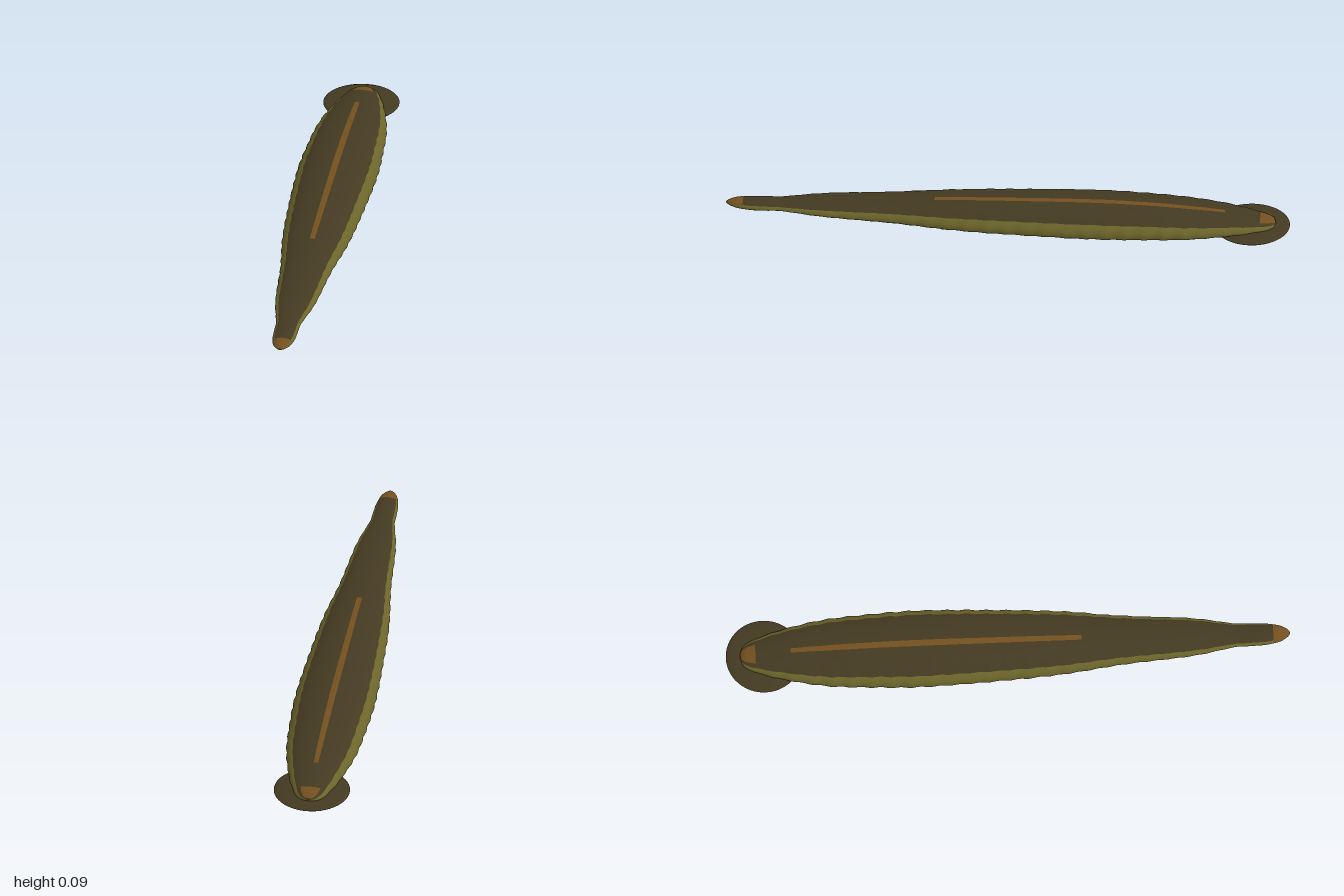
import * as THREE from 'three';

const mat = (name, color) => {
  const m = new THREE.MeshStandardMaterial({ color, side: THREE.DoubleSide });
  m.name = name;
  return m;
};

// Body profile from tail to head: z, half width, top y, bottom y
const PROFILE = [
  [-0.95, 0.002, 0.034, 0.028], [-0.935, 0.04, 0.045, 0.022], [-0.88, 0.068, 0.055, 0.017],
  [-0.78, 0.098, 0.07, 0.013], [-0.65, 0.124, 0.081, 0.007], [-0.5, 0.136, 0.09, 0.004],
  [-0.3, 0.143, 0.094, 0.002], [0, 0.131, 0.089, 0.004], [0.2, 0.117, 0.083, 0.008],
  [0.4, 0.092, 0.074, 0.015], [0.65, 0.071, 0.062, 0.023], [0.8, 0.045, 0.051, 0.028],
  [0.88, 0.042, 0.052, 0.024], [0.95, 0.034, 0.05, 0.026], [0.985, 0.018, 0.044, 0.031],
  [1, 0.001, 0.038, 0.034],
];
const sizes = new THREE.CatmullRomCurve3(
  PROFILE.map(([, w, top, bottom]) => new THREE.Vector3(w, top, bottom)), false, 'catmullrom');
const stations = new THREE.SplineCurve(PROFILE.map(([z], i) => new THREE.Vector2(i, z)));

// Point on the body at t (tail to head) and angle a around the section
function surface(t, a, lift = 0) {
  const s = sizes.getPoint(t);
  const z = stations.getPoint(t).y;
  const ring = 1 + 0.014 * Math.cos((z * Math.PI * 2) / 0.07);
  const mid = s.z + (s.y - s.z) * 0.31;
  const height = Math.sin(a) > 0 ? s.y - mid : mid - s.z;
  return new THREE.Vector3(
    Math.cos(a) * (Math.max(s.x, 0) * ring + lift),
    mid + Math.sin(a) * (height + lift), z);
}

// Curve parameter for a given z
function tAt(z) {
  let lo = 0, hi = 1;
  for (let i = 0; i < 30; i++) {
    const m = (lo + hi) / 2;
    if (stations.getPoint(m).y < z) lo = m; else hi = m;
  }
  return (lo + hi) / 2;
}

// Skin over a range of t and angle; a full turn shares its seam vertices
function skin(t0, t1, a0, a1, rows, cols, lift, isBack) {
  const closed = a1 - a0 > 6.28;
  const n = closed ? cols : cols + 1;
  const positions = [], sides = [], back = [];
  for (let i = 0; i <= rows; i++) {
    for (let j = 0; j < n; j++) {
      const p = surface(t0 + ((t1 - t0) * i) / rows, a0 + ((a1 - a0) * j) / cols, lift);
      positions.push(p.x, p.y, p.z);
    }
  }
  for (let i = 0; i < rows; i++) {
    for (let j = 0; j < cols; j++) {
      const k = (j + 1) % n;
      const a = i * n + j, b = i * n + k, c = a + n, d = b + n;
      const list = isBack && isBack(a0 + ((a1 - a0) * (j + 0.5)) / cols) ? back : sides;
      list.push(a, b, c, b, d, c);
    }
  }
  const g = new THREE.BufferGeometry();
  g.setAttribute('position', new THREE.Float32BufferAttribute(positions, 3));
  g.setIndex([...sides, ...back]);
  if (isBack) {
    g.addGroup(0, sides.length, 0);
    g.addGroup(sides.length, back.length, 1);
  }
  g.computeVertexNormals();
  return g;
}

export function createModel() {
  const group = new THREE.Group();
  const olive = mat('olive skin', 0x6b642a);
  const brown = mat('dark brown back', 0x443a22);
  const rust = mat('ochre marking', 0x74501f);
  const dark = mat('dark sucker', 0x3a3120);
  const add = (name, geometry, material) => {
    const mesh = new THREE.Mesh(geometry, material);
    mesh.name = name;
    group.add(mesh);
    return mesh;
  };
  const rad = THREE.MathUtils.degToRad;

  // Ringed body with a dark back
  add('body', skin(0, 1, 0, Math.PI * 2, 240, 60, 0,
    (a) => a > rad(36) && a < rad(144)), [olive, brown]);

  // Ochre markings on the back, head and tail
  add('backStripe', skin(tAt(-0.77), tAt(0.26), rad(85.5), rad(94.5), 120, 2, 0.001), rust);
  add('headMarking', skin(tAt(0.94), tAt(0.998), rad(25), rad(155), 12, 16, 0.001), rust);
  add('tailMarking', skin(tAt(-0.947), tAt(-0.895), rad(56), rad(124), 10, 10, 0.001), rust);

  // Tail sucker: brown top, olive lip, dark hollow
  const lathe = (name, points, material) => {
    const profile = points.map(([r, y]) => new THREE.Vector2(r, y));
    add(name, new THREE.LatheGeometry(profile, 48), material).position.z = -0.865;
  };
  lathe('suckerTop', [[0.135, 0.02], [0.12, 0.026], [0.07, 0.03], [0, 0.031]], brown);
  lathe('suckerLip', [[0.09, 0.008], [0.115, 0.011], [0.13, 0.016], [0.135, 0.02]], olive);
  lathe('suckerHollow', [[0, 0.012], [0.06, 0.011], [0.09, 0.008]], dark);

  // Single row of spots along the left edge of the belly
  for (let i = 0; i < 8; i++) {
    const t = tAt(0.22 - i * 0.123);
    const a = rad(-42);
    const tangent = surface(t, a + 0.05).sub(surface(t, a - 0.05));
    const spot = add('bellySpot', new THREE.SphereGeometry(1, 14, 8), dark);
    const r = i === 1 || i === 2 ? 0.009 : 0.019;
    spot.scale.set(r, 0.003, r);
    spot.position.copy(surface(t, a));
    spot.rotation.z = Math.atan2(tangent.y, tangent.x);
  }
  return group;
}
